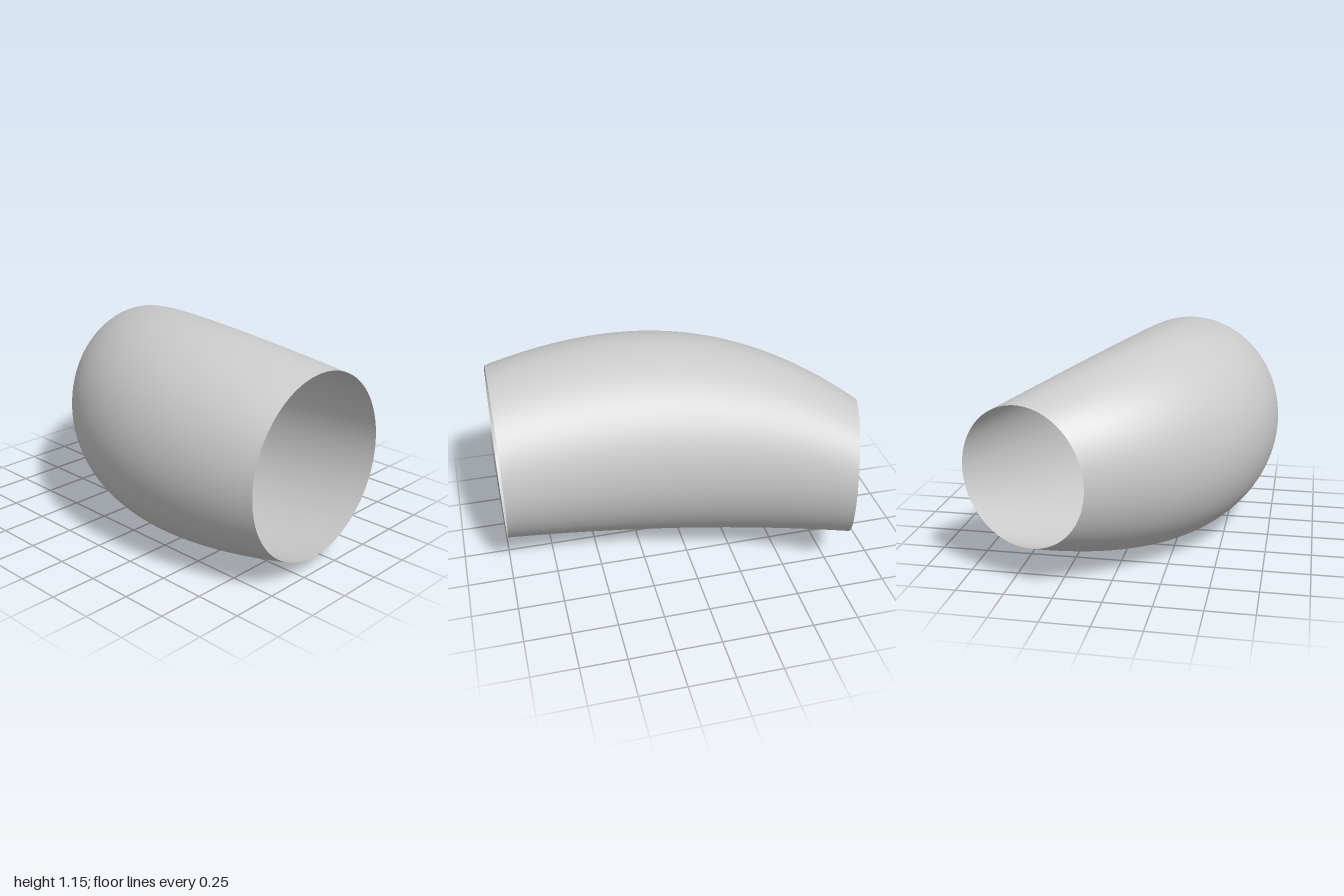
import * as THREE from 'three';

const SIDES = 96, RINGS = 48, MID_Y = 0.576;

// Point at t on a curve given by start, linear and quadratic terms
const quad = (a, b, c, t) => a + b * t + c * t * t;

// Open bent sleeve: elliptical rings spanned between two side rails
function sleeveGeometry() {
  const positions = [], index = [];
  for (let i = 0; i <= RINGS; i++) {
    const t = i / RINGS;
    // outer rail (bulging side) and inner rail (hollow side), front to back
    const ox = quad(-0.66, -0.83, 1.57, t), oz = quad(1, -2.65, 0.65, t);
    const ix = quad(0.31, -0.05, 0.505, t), iz = quad(1, -2.105, 0.33, t);
    const height = quad(0.486, 0.453, -0.572, t);
    for (let j = 0; j < SIDES; j++) {
      const a = (j / SIDES) * Math.PI * 2, c = Math.cos(a) / 2;
      positions.push(
        (ox + ix) / 2 + (ix - ox) * c,
        MID_Y + height * Math.sin(a),
        (oz + iz) / 2 + (iz - oz) * c
      );
      if (i < RINGS) {
        const k = (j + 1) % SIDES, p = i * SIDES, q = p + SIDES;
        index.push(p + j, q + k, p + k, p + j, q + j, q + k);
      }
    }
  }
  const geometry = new THREE.BufferGeometry();
  geometry.setAttribute('position', new THREE.Float32BufferAttribute(positions, 3));
  geometry.setIndex(index);
  geometry.computeVertexNormals();
  return geometry;
}

export function createModel() {
  const group = new THREE.Group();
  group.name = 'bentTube';
  const material = new THREE.MeshStandardMaterial({ color: 0xcccccc, side: THREE.DoubleSide });
  const sleeve = new THREE.Mesh(sleeveGeometry(), material);
  sleeve.name = 'sleeve';
  group.add(sleeve);
  return group;
}
